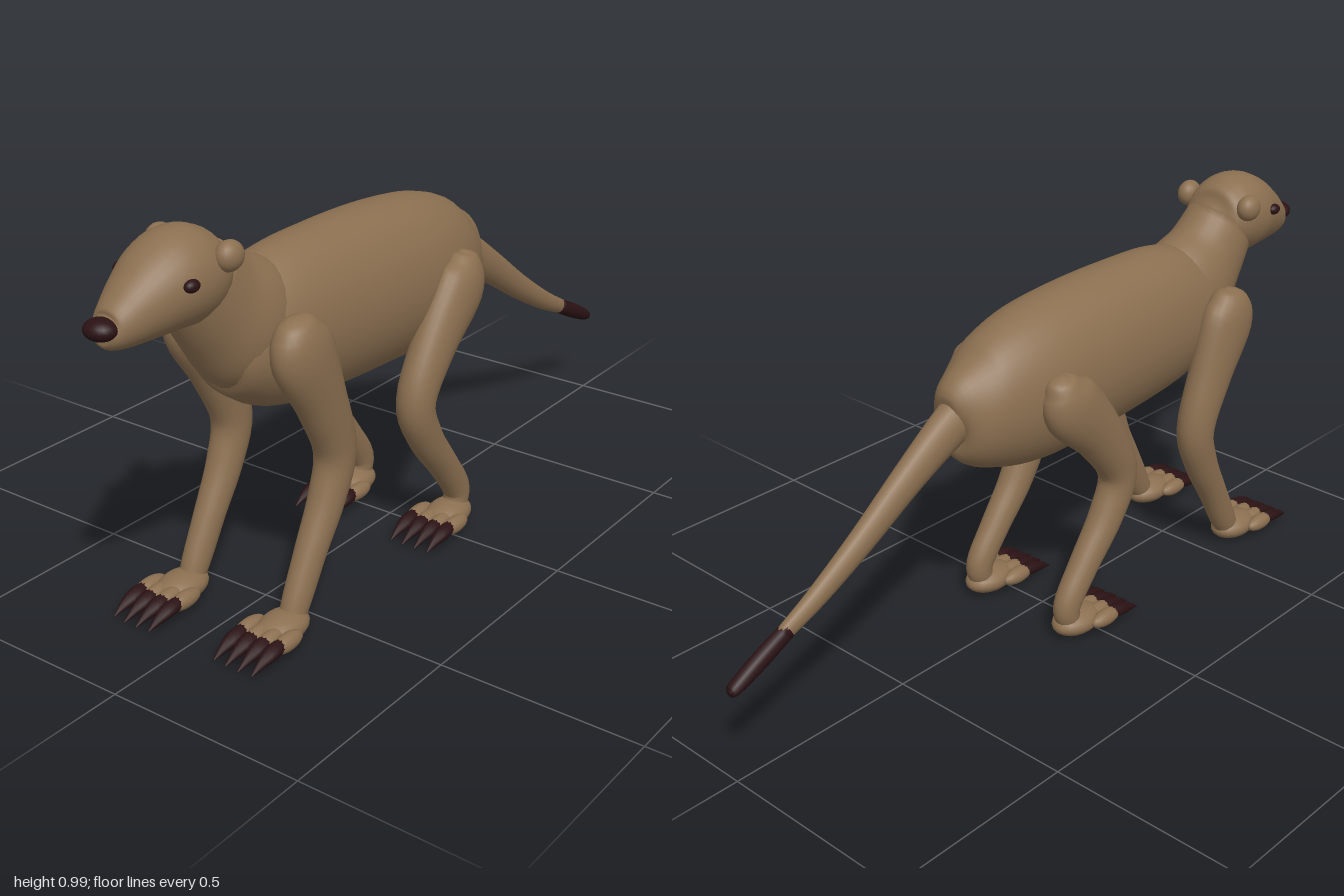
import * as THREE from 'three';

const fur = new THREE.MeshStandardMaterial({ color: 0x8b6f50 });
fur.name = 'brown fur';
const dark = new THREE.MeshStandardMaterial({ color: 0x2b1214 });
dark.name = 'dark claw';

// Smooth closed skin through elliptical sections [x, y, z, half width, half depth]
function loft(name, sections, material, sides = 24, perSection = 5) {
  const path = new THREE.CatmullRomCurve3(sections.map(s => new THREE.Vector3(s[0], s[1], s[2])), false, 'catmullrom', 0.5);
  const radii = new THREE.CatmullRomCurve3(sections.map(s => new THREE.Vector3(s[3], s[4], 0)), false, 'catmullrom', 0.5);
  const n = (sections.length - 1) * perSection;
  const pos = [], idx = [];
  const side = new THREE.Vector3(1, 0, 0);
  for (let i = 0; i <= n; i++) {
    const c = path.getPoint(i / n), r = radii.getPoint(i / n);
    const t = path.getTangent(i / n).setX(0).normalize();
    const up = t.cross(side);
    for (let j = 0; j < sides; j++) {
      const a = (j / sides) * Math.PI * 2;
      const u = Math.cos(a) * r.x, v = Math.sin(a) * r.y;
      pos.push(c.x + u, c.y + up.y * v, c.z + up.z * v);
      if (i < n) {
        const p = i * sides + j, q = i * sides + (j + 1) % sides;
        idx.push(p, q, p + sides, q, q + sides, p + sides);
      }
    }
  }
  // End caps
  const first = sections[0], last = sections[sections.length - 1];
  const c0 = pos.length / 3;
  pos.push(first[0], first[1], first[2], last[0], last[1], last[2]);
  for (let j = 0; j < sides; j++) {
    const k = (j + 1) % sides;
    idx.push(c0, k, j, c0 + 1, n * sides + j, n * sides + k);
  }
  const g = new THREE.BufferGeometry();
  g.setAttribute('position', new THREE.Float32BufferAttribute(pos, 3));
  g.setIndex(idx);
  g.computeVertexNormals();
  const m = new THREE.Mesh(g, material);
  m.name = name;
  return m;
}

// Sections along z given as [z, top, bottom, half width]
const alongZ = list => list.map(([z, top, bottom, w]) => [0, (top + bottom) / 2, z, w, (top - bottom) / 2]);

function ellipsoid(name, c, r, material) {
  const m = new THREE.Mesh(new THREE.SphereGeometry(1, 20, 14), material);
  m.name = name;
  m.position.set(...c);
  m.scale.set(...r);
  return m;
}

// Foot with four toes and claws; z is the middle of the pad
function makeFoot(name, x, z) {
  const foot = new THREE.Group();
  foot.name = name;
  foot.add(ellipsoid('pad', [x, 0.034, z], [0.052, 0.034, 0.075], fur));
  for (let i = 0; i < 4; i++) {
    const tx = x + (i - 1.5) * 0.036;
    const bend = Math.abs(i - 1.5) < 1 ? 0.008 : 0;
    foot.add(ellipsoid('toe', [tx, 0.037, z + 0.05 + bend], [0.021, 0.021, 0.05], fur));
    foot.add(loft('claw', [
      [tx, 0.04, z + 0.068, 0.016, 0.016],
      [tx, 0.036, z + 0.105, 0.019, 0.016],
      [tx, 0.026, z + 0.14, 0.011, 0.011],
      [tx, 0.013, z + 0.172 + bend / 2, 0.002, 0.002],
    ], dark, 10, 3));
  }
  return foot;
}

function makeLeg(name, sections, footZ, s) {
  const leg = new THREE.Group();
  leg.name = name;
  leg.add(loft('limb', sections.map(([x, ...rest]) => [x * s, ...rest]), fur));
  leg.add(makeFoot('foot', 0.152 * s, footZ));
  return leg;
}

export function createModel() {
  const model = new THREE.Group();
  model.name = 'animal';

  // Torso, neck and head
  model.add(loft('body', alongZ([
    [-0.325, 0.68, 0.62, 0.025], [-0.30, 0.75, 0.555, 0.07], [-0.22, 0.80, 0.485, 0.115],
    [-0.08, 0.845, 0.45, 0.148], [0.1, 0.865, 0.455, 0.155], [0.3, 0.868, 0.465, 0.148],
    [0.45, 0.86, 0.48, 0.137], [0.56, 0.82, 0.515, 0.12], [0.63, 0.76, 0.56, 0.09], [0.655, 0.69, 0.62, 0.035],
  ]), fur, 36));
  model.add(loft('neck', [
    [0, 0.65, 0.48, 0.1, 0.14], [0, 0.72, 0.56, 0.115, 0.15],
    [0, 0.785, 0.635, 0.1, 0.122], [0, 0.86, 0.7, 0.09, 0.1],
  ], fur, 28));
  const head = new THREE.Group();
  head.name = 'head';
  head.add(loft('skull', alongZ([
    [0.635, 0.91, 0.85, 0.03], [0.66, 0.95, 0.80, 0.08], [0.70, 0.975, 0.776, 0.1],
    [0.75, 0.985, 0.767, 0.105], [0.80, 0.966, 0.766, 0.1], [0.86, 0.926, 0.766, 0.08],
    [0.91, 0.888, 0.768, 0.06], [0.945, 0.862, 0.775, 0.044], [0.965, 0.845, 0.795, 0.028],
  ]), fur, 32));
  head.add(ellipsoid('nose', [0, 0.828, 0.966], [0.038, 0.024, 0.034], dark));
  for (const s of [-1, 1]) {
    head.add(ellipsoid('eye', [0.098 * s, 0.891, 0.805], [0.014, 0.014, 0.02], dark));
    head.add(ellipsoid('ear', [0.097 * s, 0.922, 0.69], [0.028, 0.034, 0.036], fur));
  }
  model.add(head);

  // Tail with dark tip
  model.add(loft('tail', [
    [0, 0.65, -0.26, 0.05, 0.06], [0, 0.62, -0.33, 0.042, 0.055], [0, 0.54, -0.46, 0.034, 0.044],
    [0, 0.445, -0.60, 0.028, 0.035], [0, 0.36, -0.74, 0.022, 0.027], [0, 0.305, -0.85, 0.016, 0.02],
  ], fur, 18));
  model.add(loft('tailTip', [
    [0, 0.314, -0.83, 0.018, 0.021], [0, 0.275, -0.91, 0.02, 0.022],
    [0, 0.238, -0.985, 0.018, 0.016], [0, 0.233, -0.998, 0.008, 0.007],
  ], dark, 14));

  // Legs, mirrored
  const front = [
    [0.152, 0.754, 0.56, 0.012, 0.016], [0.153, 0.735, 0.555, 0.04, 0.055], [0.156, 0.67, 0.535, 0.054, 0.088],
    [0.156, 0.54, 0.475, 0.051, 0.068], [0.154, 0.4, 0.425, 0.048, 0.053], [0.153, 0.29, 0.455, 0.043, 0.046],
    [0.152, 0.18, 0.515, 0.037, 0.04], [0.152, 0.085, 0.565, 0.033, 0.038], [0.152, 0.03, 0.595, 0.03, 0.03],
  ];
  const hind = [
    [0.148, 0.72, -0.11, 0.012, 0.016], [0.15, 0.70, -0.103, 0.038, 0.046], [0.154, 0.64, -0.07, 0.054, 0.082],
    [0.155, 0.53, 0.03, 0.051, 0.068], [0.154, 0.4, 0.107, 0.047, 0.053], [0.153, 0.29, 0.068, 0.043, 0.046],
    [0.152, 0.18, -0.015, 0.037, 0.04], [0.152, 0.09, -0.076, 0.033, 0.038], [0.152, 0.034, -0.065, 0.03, 0.03],
  ];
  for (const [side, s] of [['left', 1], ['right', -1]]) {
    model.add(makeLeg(side + 'FrontLeg', front, 0.622, s));
    model.add(makeLeg(side + 'HindLeg', hind, -0.04, s));
  }
  return model;
}
